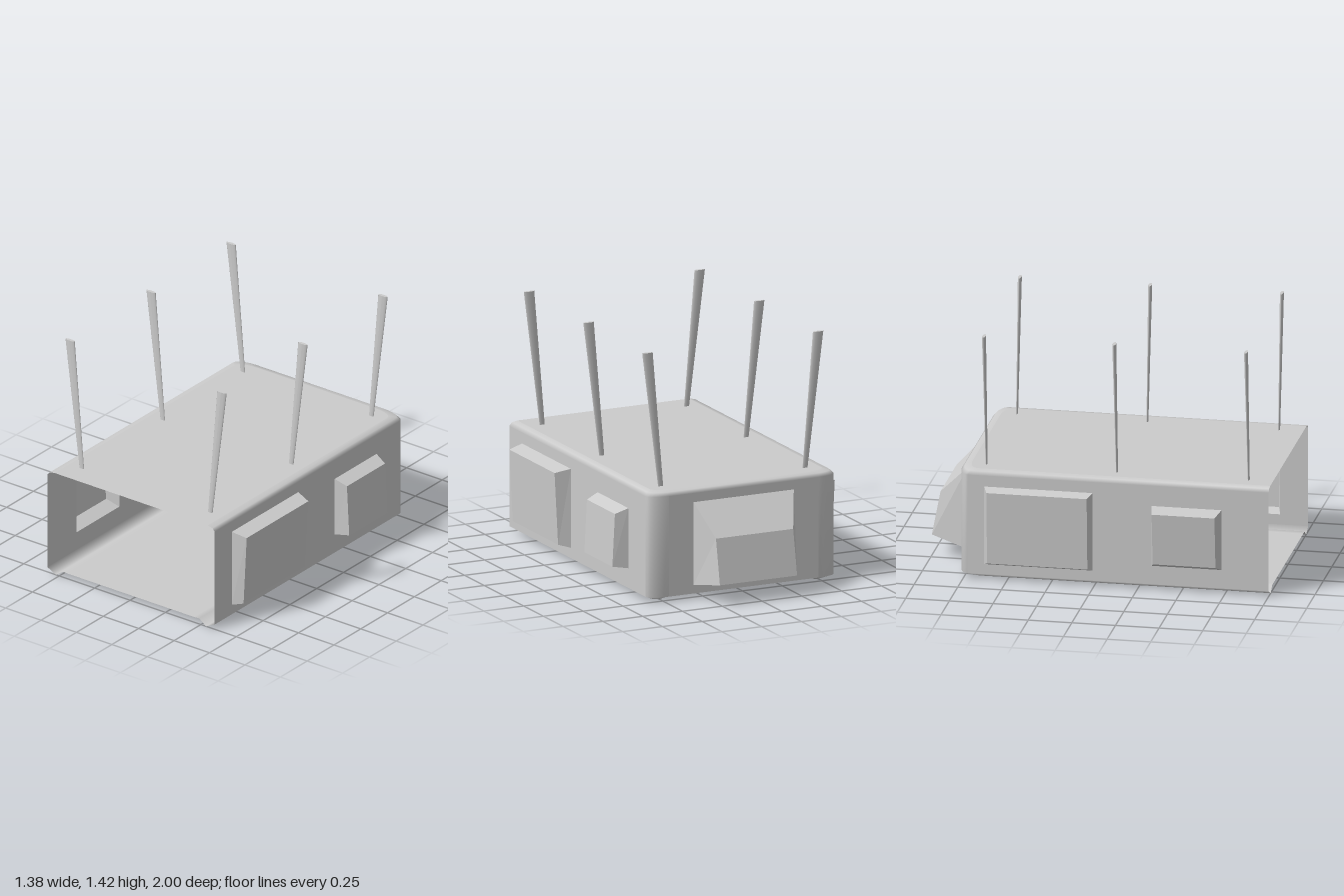
import * as THREE from 'three';

const CX = 0.007, W = 0.59, FRONT = 1, BACK = -0.78, RX = 0.12, RZ = 0.055, N = 6;

const material = new THREE.MeshStandardMaterial({ color: 0xcccccc, side: THREE.DoubleSide });

function addMesh(group, name, geometry) {
  const mesh = new THREE.Mesh(geometry, material);
  mesh.name = name;
  group.add(mesh);
  return mesh;
}

// U-shaped plan outline (open at the front), moved inward by d
function planPath(d) {
  const right = [[W - d, FRONT, 0]];
  for (let k = 0; k <= N; k++) {
    const a = (k / N) * Math.PI / 2;
    right.push([W - d - RX * (1 - Math.cos(a)), BACK + d + RZ * (1 - Math.sin(a)), Math.max(0, 2 * k / N - 1)]);
  }
  const left = right.map(([x, z, t]) => [-x, z, t]).reverse();
  return [...right, ...left].map(([x, z, t]) => [x + CX, z, t]);
}

// Edge profile from roof edge, down the wall, under the rim and in to the floor:
// inset, height at the sides, height at the back
const PROFILE = [
  [0.05, 0.64, 0.64], [0.016, 0.634, 0.634], [0, 0.615, 0.615], [0, 0.03, 0.03],
  [0.06, 0, 0.022], [0.11, 0.035, 0.033], [0.15, 0.033, 0.033]
];
const WALL_BAND = 2;

// Rounded shell; the flat wall spans are left out for the panels with openings
function shellGeometry() {
  const positions = [], all = [], kept = [];
  const count = planPath(0).length;
  for (const [d, ySide, yBack] of PROFILE)
    for (const [x, z, t] of planPath(d)) positions.push(x, ySide + (yBack - ySide) * t, z);
  for (let j = 0; j < PROFILE.length - 1; j++) {
    for (let i = 0; i < count - 1; i++) {
      const a = j * count + i, b = a + 1, c = a + count, e = c + 1;
      const quad = [a, b, c, b, e, c];
      all.push(...quad);
      const flat = i === 0 || i === N + 1 || i === count - 2;
      if (!(j === WALL_BAND && flat)) kept.push(...quad);
    }
  }
  const g = new THREE.BufferGeometry();
  g.setAttribute('position', new THREE.Float32BufferAttribute(positions, 3));
  g.setIndex(all);
  g.computeVertexNormals();
  g.setIndex(kept);
  return g;
}

// Flat horizontal sheet filling the plan outline
function sheetGeometry(inset, y) {
  const shape = new THREE.Shape(planPath(inset).map(([x, z]) => new THREE.Vector2(x, -z)));
  return new THREE.ShapeGeometry(shape).rotateX(-Math.PI / 2).translate(0, y, 0);
}

const rectPoints = ([u0, u1, y0, y1]) => [[u0, y0], [u1, y0], [u1, y1], [u0, y1]];

// Flat wall with rectangular openings; place maps (u, y) to a 3D point
function panelGeometry(u0, u1, openings, place) {
  const toVectors = r => rectPoints(r).map(p => new THREE.Vector2(...p));
  const shape = new THREE.Shape(toVectors([u0, u1, 0.03, 0.615]));
  for (const o of openings) shape.holes.push(new THREE.Path(toVectors(o)));
  const g = new THREE.ShapeGeometry(shape);
  const p = g.attributes.position;
  for (let i = 0; i < p.count; i++) p.setXYZ(i, ...place(p.getX(i), p.getY(i)));
  g.computeVertexNormals();
  return g;
}

// Hollow tapered bay: four sloping sides and an end, open toward the interior
function bayGeometry(inner, outer) {
  const positions = [];
  const quad = (a, b, c, d) => positions.push(...a, ...b, ...c, ...a, ...c, ...d);
  for (let i = 0; i < 4; i++) {
    const j = (i + 1) % 4;
    quad(inner[i], inner[j], outer[j], outer[i]);
  }
  quad(...outer);
  const g = new THREE.BufferGeometry();
  g.setAttribute('position', new THREE.Float32BufferAttribute(positions, 3));
  g.computeVertexNormals();
  return g;
}

// base and end: [z0, z1, y0, y1]; bottom and top: x of the end face
const SIDE_BAYS = {
  left: [
    { base: [0.22, 0.84, 0.09, 0.55], end: [0.245, 0.82, 0.11, 0.53], bottom: 0.665, top: 0.687 },
    { base: [-0.51, -0.12, 0.145, 0.495], end: [-0.49, -0.135, 0.16, 0.465], bottom: 0.688, top: 0.672 }
  ],
  right: [
    { base: [0.33, 0.73, 0.14, 0.495], end: [0.35, 0.71, 0.175, 0.48], bottom: -0.66, top: -0.692 },
    { base: [-0.63, -0.01, 0.09, 0.55], end: [-0.605, -0.03, 0.11, 0.535], bottom: -0.63, top: -0.652 }
  ]
};

export function createModel() {
  const model = new THREE.Group();
  model.name = 'hollowBody';

  // Shell, roof and floor
  addMesh(model, 'shell', shellGeometry());
  addMesh(model, 'roof', sheetGeometry(0.05, 0.64));
  addMesh(model, 'floor', sheetGeometry(0.15, 0.033));

  // Side walls and their bays
  for (const [side, bays] of Object.entries(SIDE_BAYS)) {
    const x = CX + (side === 'left' ? W : -W);
    addMesh(model, side + 'Wall',
      panelGeometry(BACK + RZ, FRONT, bays.map(b => b.base), (z, y) => [x, y, z]));
    bays.forEach((b, i) => {
      const inner = rectPoints(b.base).map(([z, y]) => [x, y, z]);
      const outer = rectPoints(b.end).map(([z, y], k) => [k < 2 ? b.bottom : b.top, y, z]);
      if (side === 'right') { inner.reverse(); outer.reverse(); }
      addMesh(model, side + (i ? 'RearBay' : 'FrontBay'), bayGeometry(inner, outer));
    });
  }

  // Back wall and its deep sloping bay
  const opening = [-0.308, 0.322, 0.08, 0.562];
  const half = W - RX;
  addMesh(model, 'backWall', panelGeometry(CX - half, CX + half, [opening], (x, y) => [x, y, BACK]));
  addMesh(model, 'backBay', bayGeometry(
    rectPoints(opening).map(([x, y]) => [x, y, BACK]),
    rectPoints([-0.22, 0.265, 0.123, 0.383]).map(([x, y], k) => [x, y, k < 2 ? -1 : -0.95])));

  // Six thin posts, wider at the top and leaning outward
  const bottomY = 0.635, topY = 1.425;
  for (const s of [-1, 1]) {
    for (const z of [0.86, 0.105, -0.642]) {
      const g = new THREE.CylinderGeometry(0.033, 0.016, topY - bottomY, 12);
      g.scale(1, 1, 0.3);
      const p = g.attributes.position;
      for (let i = 0; i < p.count; i++) {
        const t = p.getY(i) / (topY - bottomY) + 0.5;
        p.setX(i, p.getX(i) + s * (0.453 + 0.083 * t));
      }
      g.computeVertexNormals();
      addMesh(model, s > 0 ? 'leftPost' : 'rightPost', g).position.set(CX, (bottomY + topY) / 2, z);
    }
  }
  return model;
}
